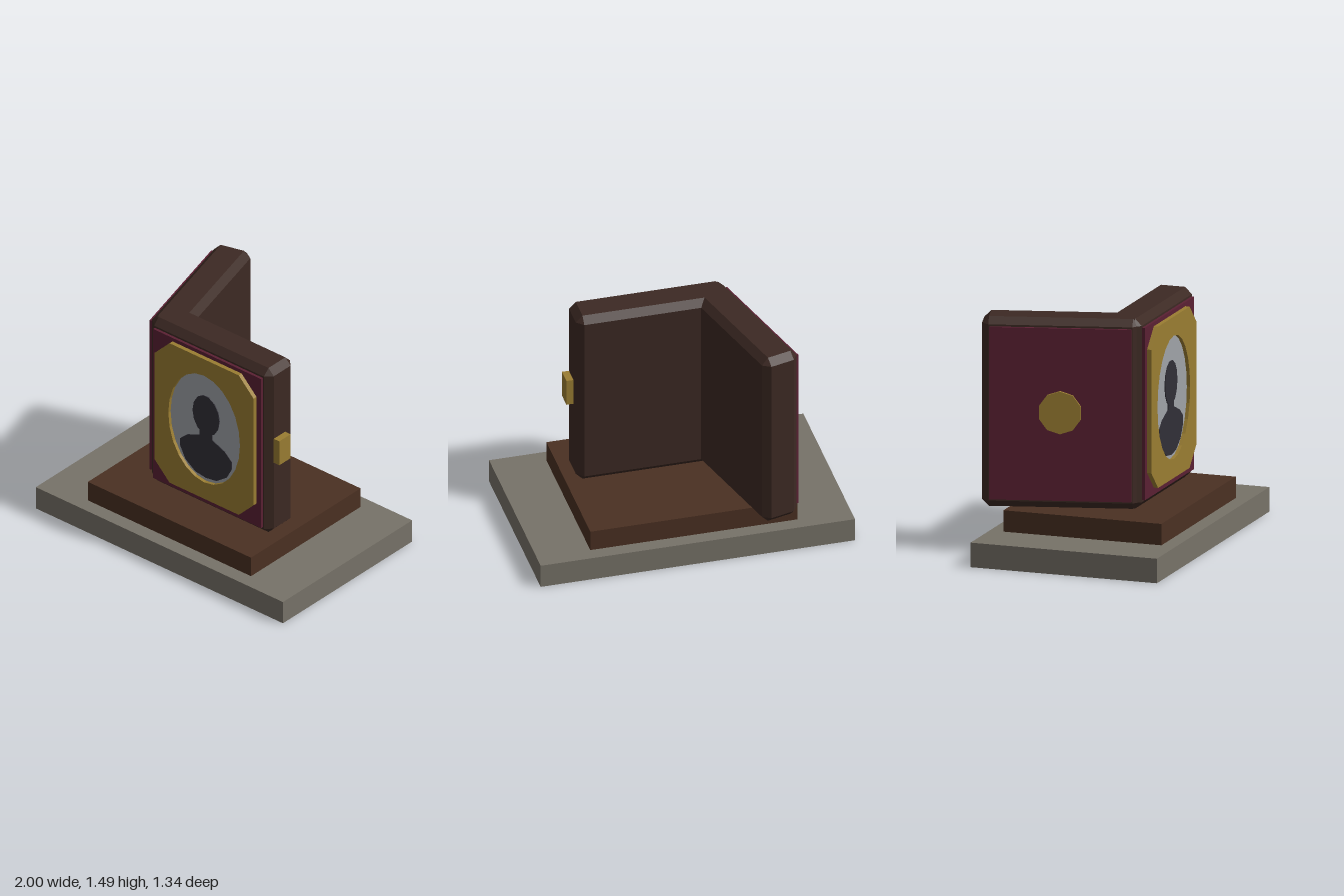
import * as THREE from 'three';
import { ConvexGeometry } from 'three/addons/geometries/ConvexGeometry.js';

const material = (color) => new THREE.MeshStandardMaterial({ color, flatShading: true });
const leather = material(0x3c2923);
const velvet = material(0x5a2033);
const brass = material(0x9a7d32);
const silver = material(0x9fa3a8);
const shadow = material(0x312f38);
const wood = material(0x4a3022);
const stone = material(0x777268);

const WIDTH = 0.975, HEIGHT = 1.2, DEPTH = 0.245, CHAMFER = 0.043;
const BOTTOM = 0.29, MID_Y = 0.9;

function add(parent, name, geometry, mat, x, y, z) {
  const mesh = new THREE.Mesh(geometry, mat);
  mesh.name = name;
  mesh.position.set(x, y, z);
  parent.add(mesh);
  return mesh;
}

// Box with all twelve edges cut at 45 degrees
function chamferedBox(w, h, d, c) {
  const points = [];
  for (const sx of [-1, 1]) for (const sy of [-1, 1]) for (const sz of [-1, 1]) {
    for (const keep of [0, 1, 2]) {
      points.push(new THREE.Vector3(
        sx * (w / 2 - (keep === 0 ? 0 : c)),
        sy * (h / 2 - (keep === 1 ? 0 : c)),
        sz * (d / 2 - (keep === 2 ? 0 : c))));
    }
  }
  return new ConvexGeometry(points);
}

const slab = (shape, depth, curveSegments = 12) =>
  new THREE.ExtrudeGeometry(shape, { depth, curveSegments, bevelEnabled: false });

const oval = (rx, ry) => new THREE.Shape().absellipse(0, 0, rx, ry, 0, Math.PI * 2);

// One half of the case; the hinge edge is the local origin, side says which way it extends
function casePanel(name, side) {
  const panel = new THREE.Group();
  panel.name = name;
  const x = side * WIDTH / 2;
  add(panel, name + 'Board', chamferedBox(WIDTH, HEIGHT, DEPTH, CHAMFER), leather,
    x, BOTTOM + HEIGHT / 2, -DEPTH / 2);
  add(panel, name + 'Lining', new THREE.BoxGeometry(0.875, 1.09, 0.03), velvet, x, 0.89, 0.003);
  return panel;
}

// Flat brass mat with cut corners and an oval opening
function matGeometry() {
  const w = 0.4, h = 0.51, c = 0.12;
  const shape = new THREE.Shape([
    [-w + c, -h], [w - c, -h], [w, -h + c], [w, h - c],
    [w - c, h], [-w + c, h], [-w, h - c], [-w, -h + c],
  ].map(([px, py]) => new THREE.Vector2(px, py)));
  shape.holes.push(new THREE.Path().absellipse(0, 0, 0.29, 0.39, 0, Math.PI * 2, true));
  return slab(shape, 0.028);
}

// Neck and shoulders, mirrored from one half outline
function shouldersGeometry() {
  const half = [[0.05, 0.9], [0.05, 0.83], [0.155, 0.786], [0.208, 0.738],
    [0.208, 0.684], [0.165, 0.604], [0.085, 0.547]];
  const left = half.map(([px, py]) => new THREE.Vector2(-px, py));
  const right = half.map(([px, py]) => new THREE.Vector2(px, py)).reverse();
  return slab(new THREE.Shape([...left, new THREE.Vector2(0, 0.535), ...right]), 0.008);
}

export function createModel() {
  const model = new THREE.Group();
  model.name = 'portraitCase';

  // Stand
  add(model, 'base', new THREE.BoxGeometry(2, 0.155, 1.22), stone, 0, 0.0775, 0.06);
  add(model, 'plinth', new THREE.BoxGeometry(1.32, 0.135, 1.035), wood, 0, 0.2225, 0.0575);

  // Front half with the framed silhouette
  const front = casePanel('frontPanel', 1);
  const mid = WIDTH / 2;
  add(front, 'mat', matGeometry(), brass, mid, MID_Y, 0.018);
  add(front, 'portraitPlate', slab(oval(0.295, 0.395), 0.008), silver, mid, MID_Y, 0.016);
  add(front, 'silhouetteHead', slab(oval(0.108, 0.142), 0.008, 7), shadow, mid, 0.99, 0.022);
  add(front, 'silhouetteShoulders', shouldersGeometry(), shadow, mid, 0, 0.0215);
  add(front, 'clasp', new THREE.BoxGeometry(0.055, 0.175, 0.107), brass, WIDTH + 0.0175, 0.9025, -0.096);

  // Cover folded back around the shared hinge edge
  const cover = casePanel('cover', -1);
  const medallion = add(cover, 'medallion', new THREE.CylinderGeometry(0.135, 0.135, 0.02, 10),
    brass, -mid, 0.905, 0.026);
  medallion.rotation.x = Math.PI / 2;
  cover.rotation.y = THREE.MathUtils.degToRad(-75);

  for (const panel of [front, cover]) {
    panel.position.set(-0.38, 0, 0.327);
    model.add(panel);
  }
  return model;
}
